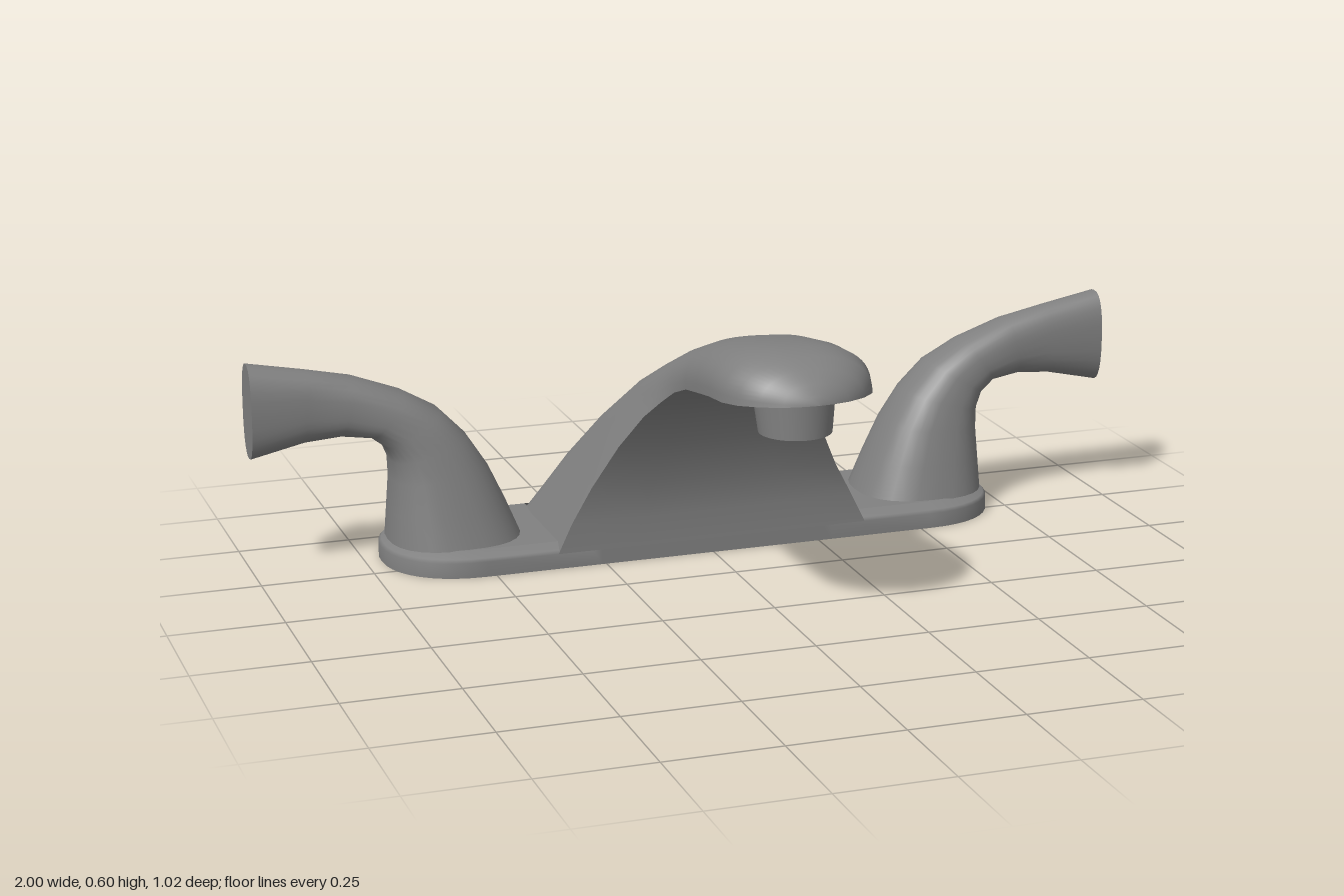
import * as THREE from 'three';

const metal = new THREE.MeshStandardMaterial({ color: 0x808080, side: THREE.DoubleSide });
const V = (x, y, z) => new THREE.Vector3(x, y, z);
const spow = (v, e) => Math.sign(v) * Math.pow(Math.abs(v), e);

function mesh(name, geometry) {
  const m = new THREE.Mesh(geometry, metal);
  m.name = name;
  return m;
}

// Skin joining a list of cross-sections (equal numbers of points)
function loft(sections, closed = false) {
  const n = sections[0].length, index = [];
  for (let j = 0; j < sections.length - 1; j++) {
    for (let i = 0; i < (closed ? n : n - 1); i++) {
      const k = (i + 1) % n, a = j * n + i, b = j * n + k, c = a + n, d = b + n;
      index.push(a, b, c, b, d, c);
    }
  }
  const g = new THREE.BufferGeometry().setFromPoints(sections.flat());
  g.setIndex(index);
  g.computeVertexNormals();
  return g;
}

// Mirrored rings keep their outward winding by reversing the point order
const mirror = ring => ring.map(p => V(-p.x, p.y, p.z)).reverse();

// Spout stations: under z, under y, upper z, upper y, half width, squareness
const SPOUT = [
  [-0.148, 0.034, -0.509, 0.034, 0.36, 12],
  [-0.149, 0.1, -0.475, 0.1, 0.328, 9],
  [-0.14, 0.18, -0.425, 0.19, 0.285, 7],
  [-0.10, 0.28, -0.335, 0.3, 0.235, 5.2],
  [-0.06, 0.355, -0.21, 0.41, 0.19, 3.8],
  [-0.02, 0.395, -0.125, 0.465, 0.165, 3.1],
  [0.03, 0.43, -0.04, 0.51, 0.15, 2.7],
  [0.10, 0.455, 0.07, 0.552, 0.147, 2.5],
  [0.20, 0.476, 0.19, 0.583, 0.157, 2.5],
  [0.30, 0.495, 0.30, 0.6, 0.164, 2.5],
  [0.38, 0.503, 0.375, 0.604, 0.163, 2.5],
  [0.43, 0.508, 0.425, 0.595, 0.146, 2.4],
  [0.47, 0.512, 0.46, 0.577, 0.112, 2.3],
  [0.495, 0.514, 0.485, 0.555, 0.07, 2.2],
  [0.506, 0.515, 0.502, 0.532, 0.03, 2],
  [0.508, 0.515, 0.508, 0.516, 0.002, 2],
];

function buildSpout() {
  const spout = new THREE.Group();
  spout.name = 'spout';
  const N = 28;
  const upper = SPOUT.map(([fz, fy, bz, by, w, n]) => Array.from({ length: N + 1 }, (_, i) => {
    const t = Math.PI * i / N;
    const c = i === N / 2 ? 0 : Math.cos(t), h = i === N ? 0 : spow(Math.sin(t), 2 / n);
    return V(w * spow(c, 2 / n), fy + (by - fy) * h, fz + (bz - fz) * h);
  }));
  const under = SPOUT.map(([fz, fy, , , w]) => [-1, -0.5, 0, 0.5, 1].map(k => V(k * w, fy, fz)));
  spout.add(mesh('spoutShell', loft(upper)), mesh('spoutUnderside', loft(under)));

  // Outlet nozzle: upright at the front, slanted at the rear
  const nozzle = new THREE.CylinderGeometry(0.087, 0.077, 0.085, 28);
  nozzle.applyMatrix4(new THREE.Matrix4().makeShear(0, 0, 0, -0.12, 0, 0));
  nozzle.translate(0, 0.4675, 0.364);
  spout.add(mesh('nozzle', nozzle));
  return spout;
}

const CZ = -0.329; // depth of the handle line
const DECK = 0.052; // height of the base deck

// Rounded left end of the base outline, from front to back
function endArc(y, inset) {
  return Array.from({ length: 21 }, (_, i) => {
    const t = Math.PI * (i / 20 - 0.5);
    return V(0.52 + (0.195 - inset) * Math.pow(Math.max(Math.cos(t), 0), 0.9), y,
      CZ - (0.181 - inset) * spow(Math.sin(t), 0.9));
  });
}

// Hollow base: one rim whose edge rolls over at the ends, and two pierced decks
function buildBase() {
  const base = new THREE.Group();
  base.name = 'base';
  const rim = [[0, 0], [0.034, 0], [0.041, 0.006], [DECK, 0.036]].map(([y, inset]) => {
    const d = 0.181, low = Math.min(y, 0.034);
    const half = [V(0.26, low, CZ + d), V(0.28, y, CZ + d - inset), ...endArc(y, inset),
      V(0.28, y, CZ - d + inset), V(0.26, low, CZ - d)];
    return [...half, ...mirror(half)];
  });
  base.add(mesh('baseRim', loft(rim, true)));

  for (const s of [1, -1]) {
    const d = 0.181 - 0.036;
    const outline = [V(0.345, 0, CZ + d), ...endArc(0, 0.036), V(0.345, 0, CZ - d)];
    const deck = new THREE.Shape(outline.map(p => new THREE.Vector2(s * p.x, -p.z)));
    deck.holes.push(new THREE.Path().absarc(s * 0.555, -CZ, 0.09, 0, Math.PI * 2, true));
    const g = new THREE.ShapeGeometry(deck, 24);
    g.rotateX(-Math.PI / 2).translate(0, DECK, 0);
    base.add(mesh(s > 0 ? 'leftDeck' : 'rightDeck', g));
  }
  return base;
}

// Handle stations: outer x, outer y, inner x, inner y, half depth
const HANDLE = [
  [0.70, 0.05, 0.405, 0.05, 0.14],
  [0.695, 0.12, 0.438, 0.13, 0.124],
  [0.69, 0.19, 0.475, 0.21, 0.108],
  [0.692, 0.235, 0.52, 0.28, 0.095],
  [0.705, 0.268, 0.58, 0.342, 0.083],
  [0.735, 0.291, 0.66, 0.388, 0.07],
  [0.80, 0.299, 0.77, 0.43, 0.057],
  [0.88, 0.292, 0.875, 0.453, 0.048],
  [1, 0.265, 1, 0.477, 0.05],
];

function buildHandle(s) {
  const handle = new THREE.Group();
  handle.name = s > 0 ? 'leftHandle' : 'rightHandle';
  const rings = HANDLE.map(([ax, ay, bx, by, w]) => {
    const ring = Array.from({ length: 28 }, (_, i) => {
      const t = 2 * Math.PI * i / 28, e = 2 / 2.5;
      const k = spow(Math.cos(t), e) / 2;
      return V((ax + bx) / 2 + k * (ax - bx), (ay + by) / 2 + k * (ay - by), CZ - w * spow(Math.sin(t), e));
    });
    return s > 0 ? ring : mirror(ring);
  });
  const tip = rings[rings.length - 1];
  handle.add(mesh('lever', loft(rings, true)));
  handle.add(mesh('leverEnd', loft([tip, tip.map(() => V(s, 0.371, CZ))], true)));
  return handle;
}

export function createModel() {
  const model = new THREE.Group();
  model.name = 'faucet';
  model.add(buildSpout(), buildBase(), buildHandle(1), buildHandle(-1));
  return model;
}
